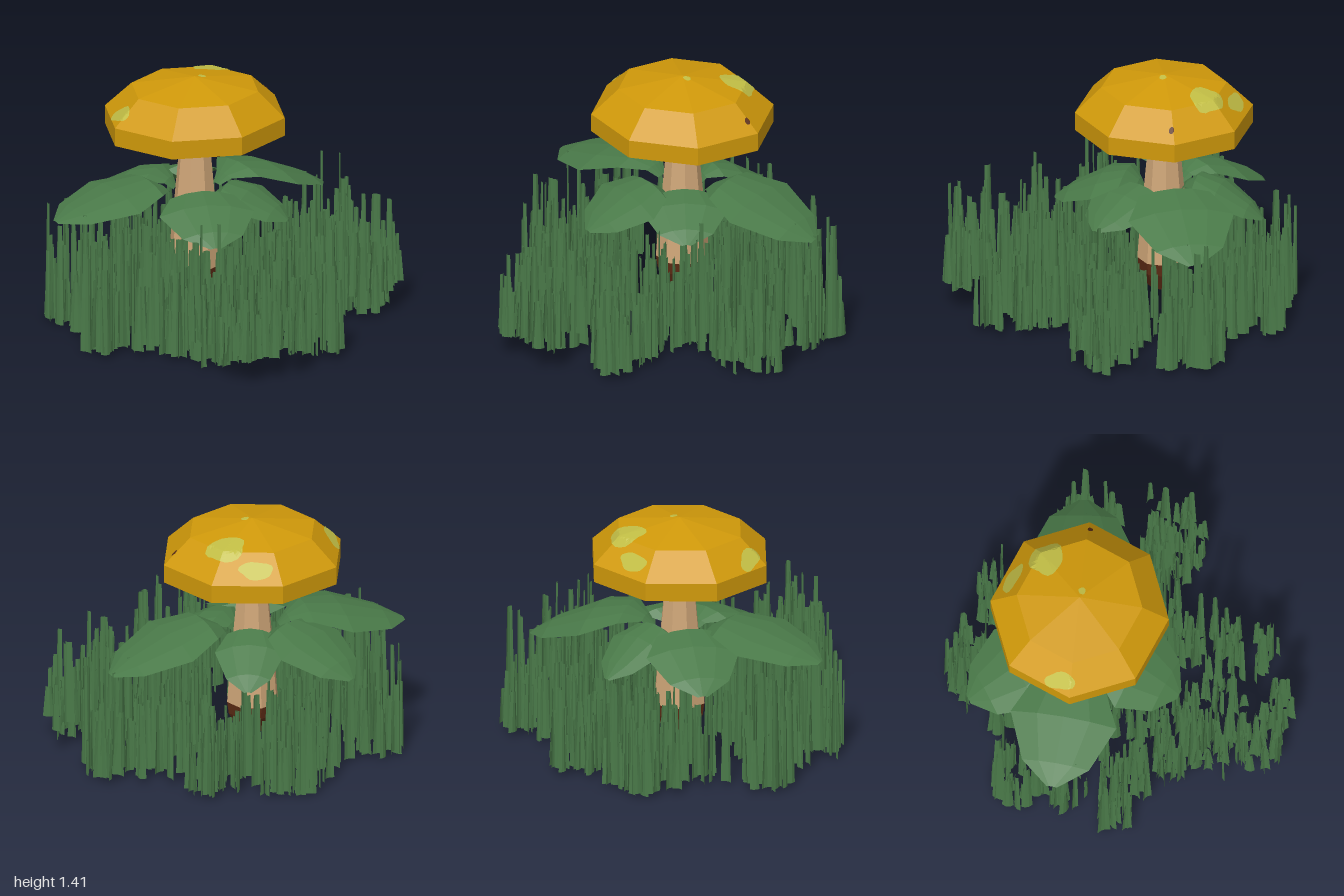
import * as THREE from 'three';

const CX = -0.1, CZ = -0.23;          // stem axis
const CAP_R = 0.525, CAP_SZ = 0.955;  // cap radius and its squash in z

const make = (name, color, double = false) => {
  const m = new THREE.MeshStandardMaterial({ color, flatShading: true });
  if (double) m.side = THREE.DoubleSide;
  m.name = name;
  return m;
};

// small seeded generator
let seed = 7;
const rnd = (a = 0, b = 1) => {
  seed = (seed * 16807) % 2147483647;
  return a + (b - a) * (seed / 2147483647);
};

const lathe = (pts, n) => new THREE.LatheGeometry(pts.map(p => new THREE.Vector2(p[0], p[1])), n);

// surface joining equal-length rows of points
function loft(rows, pos, idx) {
  const start = pos.length / 3, n = rows[0].length;
  rows.forEach(r => r.forEach(p => pos.push(...p)));
  for (let i = 0; i < rows.length - 1; i++)
    for (let j = 0; j < n - 1; j++) {
      const a = start + i * n + j, b = a + n;
      idx.push(a, a + 1, b, a + 1, b + 1, b);
    }
}

function toGeometry(pos, idx) {
  const g = new THREE.BufferGeometry();
  g.setAttribute('position', new THREE.Float32BufferAttribute(pos, 3));
  g.setIndex(idx);
  g.computeVertexNormals();
  return g;
}

// height of the faceted cap top above plan position x, z
function capHeight(x, z) {
  const dx = x - CX, dz = (z - CZ) / CAP_SZ;
  let r = 0;
  for (let k = 0; k < 8; k++) {
    const a = (k + 0.5) * Math.PI / 4;
    r = Math.max(r, (dx * Math.cos(a) + dz * Math.sin(a)) / Math.cos(Math.PI / 8));
  }
  return r < 0.37 ? 1.405 - 0.065 * r / 0.37 : 1.34 - 0.145 * (r - 0.37) / (CAP_R - 0.37);
}

// thin irregular spot draped over the cap
function spot(x, z, rx, rz, turn, wobble) {
  const rows = [], pos = [], idx = [], n = 20;
  for (let i = 0; i <= 8; i++) {
    const row = [];
    for (let j = 0; j <= n; j++) {
      const a = -j / n * Math.PI * 2;
      const k = i / 8 * (1 + wobble * (Math.sin(3 * a + x * 9) + 0.6 * Math.cos(5 * a)));
      const u = Math.cos(a) * rx * k, v = Math.sin(a) * rz * k;
      const px = x + u * Math.cos(turn) - v * Math.sin(turn);
      const pz = z + u * Math.sin(turn) + v * Math.cos(turn);
      row.push([px, capHeight(px, pz) + 0.006, pz]);
    }
    rows.push(row);
  }
  loft(rows, pos, idx);
  return toGeometry(pos, idx);
}

// arched leaf along +x: [distance, height, half width]
const LEAF = [[0.15, 0.74, 0.03], [0.2, 0.79, 0.07], [0.3, 0.845, 0.2], [0.5, 0.82, 0.3], [0.75, 0.745, 0.19], [0.87, 0.69, 0.03]];
function leaf(length, width, droop, lift) {
  const pos = [], idx = [];
  loft(LEAF.map(([r, y, w]) => [-1, -0.5, 0, 0.5, 1].map(s => [
    r * length,
    y + lift - droop * r * r - 0.17 * w * s * s,
    s * w * width,
  ])), pos, idx);
  return toGeometry(pos, idx);
}

// tapered, slightly channelled grass blade
function blade(pos, idx, x, z, base, top) {
  const a = rnd(0, Math.PI * 2), ca = Math.cos(a), sa = Math.sin(a);
  const w = rnd(0.022, 0.038), bow = rnd(0.007, 0.014), lean = rnd(-0.006, 0.006);
  loft([0, 0.55, 1].map(t => [-1, -0.35, 0.35, 1].map(s => {
    const u = s * w * (1 - 0.5 * t), v = bow * (1 - s * s) + lean * t * t;
    return [x + u * ca - v * sa, base + (top - base) * t, z + u * sa + v * ca];
  })), pos, idx);
}

// grass clumps: x, z, radius x, radius z, blades, base height
const CLUMPS = [
  [-0.77, 0.08, 0.2, 0.15, 40, 0.02], [-0.75, -0.52, 0.14, 0.14, 28, 0.02], [-0.66, -0.22, 0.22, 0.22, 38, 0.03],
  [-0.12, -0.83, 0.22, 0.14, 38, 0.02], [0.3, -0.7, 0.17, 0.17, 38, 0.03], [-0.3, -0.58, 0.25, 0.14, 28, 0.02],
  [0.06, -0.55, 0.14, 0.12, 14, 0.02], [0.82, -0.28, 0.11, 0.2, 26, 0.03], [0.74, 0.22, 0.21, 0.18, 44, 0.14],
  [0.68, 0.2, 0.22, 0.2, 30, 0.03], [0.4, 0.1, 0.24, 0.18, 42, 0.02], [0.5, -0.35, 0.22, 0.2, 34, 0.03],
  [0.23, -0.15, 0.14, 0.18, 20, 0.02], [-0.43, 0.26, 0.22, 0.24, 58, 0.02], [-0.35, 0.55, 0.26, 0.22, 30, 0.14],
  [-0.36, 0.55, 0.26, 0.22, 24, 0.03], [-0.43, 0.8, 0.14, 0.14, 38, 0.14], [-0.24, 0.9, 0.13, 0.08, 16, 0.14],
  [0.13, 0.6, 0.15, 0.27, 46, 0.04], [0.15, 0.2, 0.14, 0.18, 28, 0.02], [-0.3, 0.0, 0.12, 0.12, 14, 0.02],
];

export function createModel() {
  const root = new THREE.Group();
  const mats = {
    cap: make('cap gold', 0xd0990a),
    gills: make('gill olive', 0x9c9440, true),
    spots: make('spot lime', 0xc2be45, true),
    pits: make('pit brown', 0x5c2f14, true),
    stem: make('stem tan', 0xcfa678),
    root: make('root brown', 0x5e2c15),
    green: make('plant green', 0x4a7a49, true),
  };
  const add = (name, geo, mat, parent = root) => {
    const m = new THREE.Mesh(geo, mat);
    m.name = name;
    parent.add(m);
    return m;
  };

  // mushroom
  const mushroom = new THREE.Group();
  mushroom.name = 'mushroom';
  mushroom.position.set(CX, 0, CZ);
  root.add(mushroom);
  add('cap', lathe([[CAP_R, 1.09], [CAP_R, 1.195], [0.37, 1.34], [0, 1.405]], 8), mats.cap, mushroom).scale.z = CAP_SZ;
  add('gills', lathe([[CAP_R, 1.09], [0.36, 1.18], [0.04, 1.24]], 8), mats.gills, mushroom).scale.z = CAP_SZ;
  add('stem', lathe([[0.15, 0.3], [0.135, 0.5], [0.115, 0.7], [0.088, 1.0], [0.066, 1.1], [0.04, 1.25]], 8), mats.stem, mushroom);
  add('stemFoot', lathe([[0, 0.11], [0.09, 0.13], [0.14, 0.23], [0.15, 0.3]], 8), mats.root, mushroom);

  // spots and pit on the cap
  [[0.13, -0.44, 0.105, 0.092, 0.4, 0.09], [0.02, -0.62, 0.095, 0.037, 0.4, 0.08],
    [-0.55, -0.29, 0.038, 0.088, 0.1, 0.08], [-0.06, -0.22, 0.022, 0.02, 0, 0.05]]
    .forEach(s => add('capSpot', spot(...s), mats.spots));
  add('capPit', spot(0.36, -0.22, 0.015, 0.015, 0, 0.02), mats.pits);

  // leaves around the stem: direction x, z, length, width, droop, lift
  [[1, -0.08, 1, 1, 0.11, 0], [-1, -0.07, 1.01, 1, 0, 0], [-0.38, -0.58, 0.8, 0.88, 0.1, -0.01],
    [0.22, -0.53, 0.66, 0.65, 0.1, -0.02], [-0.22, 0.57, 0.72, 0.9, 0.06, -0.04], [0.34, 0.42, 0.63, 0.8, 0.03, -0.05]]
    .forEach(([x, z, len, wid, droop, lift]) => {
      const l = add('leaf', leaf(len, wid, droop, lift), mats.green, mushroom);
      l.rotation.y = -Math.atan2(z, x);
    });

  // grass, mostly shorter beneath the leaves
  const pos = [], idx = [];
  for (const [x, z, rx, rz, n, base] of CLUMPS)
    for (let i = 0; i < n; i++) {
      const a = rnd(0, Math.PI * 2), r = Math.sqrt(rnd());
      const px = x + Math.cos(a) * r * rx, pz = z + Math.sin(a) * r * rz;
      const tall = rnd(), spike = Math.hypot(px - CX, pz - CZ) < 0.7 ? 0.1 : 0.24;
      const b = base + rnd(-0.01, 0.015);
      blade(pos, idx, px, pz, b, Math.max(base + 0.18, 0.28 + 0.26 * tall + spike * tall ** 6 + rnd(-0.05, 0.05)));
    }
  // outermost and tallest blades
  [[-0.96, 0.0, 0, 0.58], [0.965, 0.05, 0.15, 0.43], [-0.22, 0.97, 0.15, 0.43], [-0.13, -0.97, 0.02, 0.56],
    [-0.48, 0.45, 0.14, 0.8], [0.39, 0.25, 0.03, 0.82], [0.2, 0.5, 0.14, 0.79], [0.61, 0.2, 0.03, 0.73]]
    .forEach(b => blade(pos, idx, ...b));
  add('grass', toGeometry(pos, idx), mats.green);

  return root;
}
